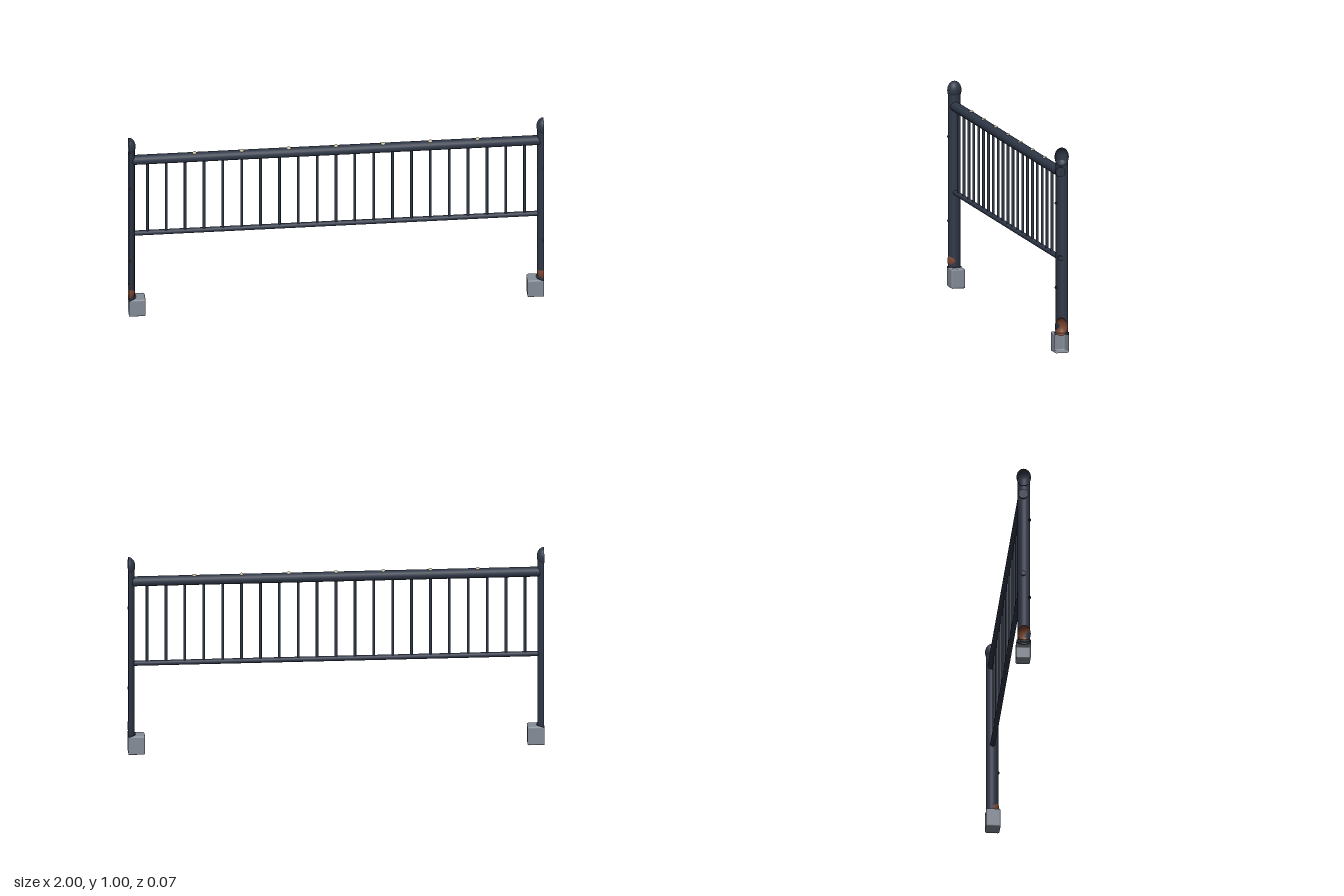
import * as THREE from 'three';
import { RoundedBoxGeometry } from 'three/addons/geometries/RoundedBoxGeometry.js';

const paint = (name, color) => {
  const m = new THREE.MeshStandardMaterial({ color, side: THREE.DoubleSide });
  m.name = name;
  return m;
};

// Half cylinder and half ellipsoid, open towards the outer end (side = +1 or -1)
const halfTube = (side, radius, height) =>
  new THREE.CylinderGeometry(radius, radius, height, 16, 1, true, side > 0 ? Math.PI : 0, Math.PI);

const halfBall = (side, rx, ry, rz) =>
  new THREE.SphereGeometry(1, 16, 16, side > 0 ? -Math.PI / 2 : Math.PI / 2, Math.PI).scale(rx, ry, rz);

// Rounded block from x = -w to 0, with the outer end left open
function openBlock(w, h, d, r) {
  const g = new RoundedBoxGeometry(w + r, h, d, 3, r).translate((r - w) / 2, 0, 0).toNonIndexed();
  const p = g.attributes.position, n = g.attributes.normal;
  const pos = [], nor = [];
  for (let i = 0; i < p.count; i += 3) {
    if (p.getX(i) + p.getX(i + 1) + p.getX(i + 2) > 1e-5) continue;
    for (let k = i; k < i + 3; k++) {
      pos.push(p.getX(k), p.getY(k), p.getZ(k));
      nor.push(n.getX(k), n.getY(k), n.getZ(k));
    }
  }
  const out = new THREE.BufferGeometry();
  out.setAttribute('position', new THREE.Float32BufferAttribute(pos, 3));
  out.setAttribute('normal', new THREE.Float32BufferAttribute(nor, 3));
  return out;
}

export function createModel() {
  const iron = paint('painted iron', 0x2f3747);
  const darkIron = paint('dark iron', 0x222834);
  const concrete = paint('concrete', 0x868d98);
  const rust = paint('rust', 0x7c4630);
  const brass = paint('pale metal', 0xcdc5a8);

  const model = new THREE.Group();
  model.name = 'railing';
  const add = (name, geometry, material, x, y, z = 0, parent = model) => {
    const mesh = new THREE.Mesh(geometry, material);
    mesh.name = name;
    mesh.position.set(x, y, z);
    parent.add(mesh);
    return mesh;
  };

  // Half posts at both ends, cut open so that sections can join
  for (const side of [1, -1]) {
    const post = new THREE.Group();
    post.name = side > 0 ? 'leftPost' : 'rightPost';
    model.add(post);
    add('postTube', halfTube(side, 0.03, 0.87), iron, side, 0.525, 0, post);
    add('postCap', halfBall(side, 0.034, 0.045, 0.035), iron, side, 0.955, 0, post);
    add('collar', halfTube(side, 0.035, 0.015), darkIron, side, 0.093, 0, post);
    add('rustPatch', halfBall(side, 0.03, 0.045, 0.031), rust, side, 0.127, 0.003, post);
    const foot = add('footing', openBlock(0.08, 0.095, 0.07, 0.008), concrete, side, 0.0475, 0, post);
    if (side < 0) foot.rotation.y = Math.PI;
    for (const y of [0.32, 0.73])
      add('bolt', halfBall(side, 0.008, 0.008, 0.006), darkIron, side, y, 0.029, post);
  }

  // Horizontal rails
  const rail = (radius) => new THREE.CylinderGeometry(radius, radius, 1.96, 20).rotateZ(Math.PI / 2);
  add('topRail', rail(0.024), iron, 0, 0.877);
  add('bottomRail', rail(0.0125), iron, 0, 0.458);

  // Balusters
  const bar = new THREE.CylinderGeometry(0.0068, 0.0068, 0.41, 10, 1, true);
  for (let i = -10; i <= 10; i++) add('baluster', bar, iron, i / 11, 0.66);

  // Studs along the top rail
  const stud = new THREE.SphereGeometry(1, 12, 8).scale(0.011, 0.007, 0.011);
  for (let i = -3; i <= 3; i++) add('stud', stud, brass, i * 0.2273, 0.9);

  return model;
}
